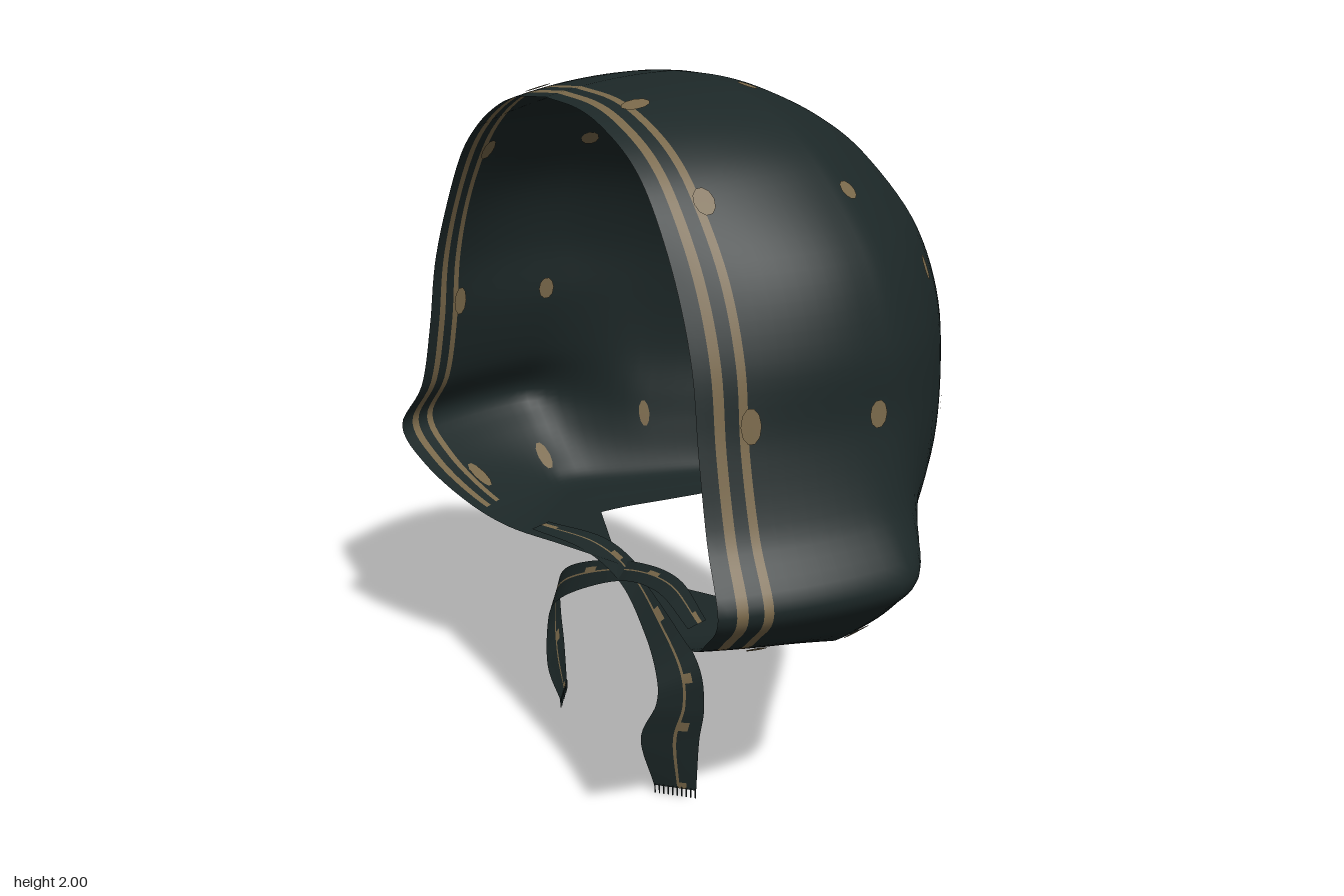
import * as THREE from 'three';
import { mergeVertices } from 'three/addons/utils/BufferGeometryUtils.js';

const CLOTH = new THREE.MeshStandardMaterial({ color: 0x1c2727, side: THREE.DoubleSide });
CLOTH.name = 'dark cloth';
const TAN = new THREE.MeshStandardMaterial({ color: 0x786749, side: THREE.DoubleSide });
TAN.name = 'tan print';
const step = THREE.MathUtils.smoothstep;

// Hood levels from crown to neck hem: height, side half-width, rear half-width, rim x, rim z, back z
const LEVELS = [
  [2.0, 0, 0, 0, 0.5, 0.1],
  [1.986, 0.18, 0.18, 0.155, 0.5, 0],
  [1.95, 0.32, 0.32, 0.27, 0.5, -0.1],
  [1.88, 0.46, 0.46, 0.39, 0.5, -0.23],
  [1.78, 0.58, 0.58, 0.485, 0.505, -0.35],
  [1.6, 0.725, 0.725, 0.585, 0.51, -0.48],
  [1.4, 0.795, 0.795, 0.665, 0.52, -0.555],
  [1.2, 0.81, 0.81, 0.705, 0.53, -0.58],
  [1.0, 0.87, 0.81, 0.76, 0.545, -0.57],
  [0.85, 0.96, 0.79, 0.85, 0.58, -0.52],
  [0.74, 0.88, 0.76, 0.76, 0.55, -0.5],
  [0.64, 0.77, 0.71, 0.62, 0.48, -0.485],
  [0.585, 0.69, 0.64, 0.48, 0.41, -0.475],
  [0.578, 0.56, 0.52, 0.28, 0.34, -0.46],
  [0.575, 0.43, 0.4, 0.06, 0.27, -0.44],
];
const curve = (pts) => new THREE.CatmullRomCurve3(pts.map((p) => new THREE.Vector3(...p)), false, 'catmullrom');
const sizes = curve(LEVELS.map((l) => l.slice(0, 3)));
const ends = curve(LEVELS.map((l) => l.slice(3)));
const MID = 0.1;
// Plan of the rear half, side to centre back: share of width, share of depth
const rearPlan = curve([
  [1, 0, 0], [0.985, 0.2, 0], [0.88, 0.44, 0], [0.75, 0.64, 0],
  [0.6, 0.84, 0], [0.46, 0.97, 0], [0.25, 0.995, 0], [0, 1, 0]]);

// Point on the hood: t runs crown to hem, c runs 0 = front rim, 1 = side, 2 = centre back
function hoodPoint(t, c, side) {
  const { x: level, y: wide, z: rear } = sizes.getPoint(t);
  const { x: rimX, y: rimZ, z: backZ } = ends.getPoint(t);
  let x, z;
  if (c <= 1) {
    const q = 1 - c;
    x = wide + (rimX - wide) * q ** (1 + 0.8 * step(level, 0.575, 0.7));
    z = MID + q * (rimZ - MID);
  } else {
    const plan = rearPlan.getPoint(Math.min(c - 1, 1));
    z = MID - (MID - backZ) * plan.y;
    x = rear * plan.x + (wide - rear) * step(z, -0.22, MID);
  }
  const q = THREE.MathUtils.clamp((z - MID) / 0.4, 0, 1);
  const y = level - 0.045 * q * q * step(level, 1.4, 2)
    + 0.05 * step(-z, -0.05, 0.45) * (1 - step(level, 0.65, 0.9));
  return new THREE.Vector3(side * x, y, z);
}

// Sheet of quads; cells flagged as tan become the second material group
function sheet(name, rows, cols, point, isTan) {
  const pos = [], cloth = [], tan = [];
  for (let i = 0; i <= rows; i++) for (let j = 0; j <= cols; j++) pos.push(...point(i, j).toArray());
  for (let i = 0; i < rows; i++) for (let j = 0; j < cols; j++) {
    const a = i * (cols + 1) + j, b = a + cols + 1;
    (isTan(i, j) ? tan : cloth).push(a, b, a + 1, a + 1, b, b + 1);
  }
  let g = new THREE.BufferGeometry();
  g.setAttribute('position', new THREE.Float32BufferAttribute(pos, 3));
  g.setIndex([...cloth, ...tan]);
  g = mergeVertices(g, 1e-5);
  g.addGroup(0, cloth.length, 0);
  g.addGroup(cloth.length, tan.length, 1);
  g.computeVertexNormals();
  const mesh = new THREE.Mesh(g, [CLOTH, TAN]);
  mesh.name = name;
  return mesh;
}

// Hood shell with two stripes running parallel to the front rim, ending at the jaw
function makeHood() {
  const half = [0, 0.045, 0.09, 0.145, 0.22, 0.268];
  for (let i = 1; i <= 8; i++) half.push(0.268 + 0.732 * i / 8);
  for (let i = 1; i <= 28; i++) half.push(1 + i / 28);
  const n = half.length - 1;
  return sheet('hood', 84, 2 * n,
    (i, j) => (j <= n ? hoodPoint(i / 84, half[j], -1) : hoodPoint(i / 84, half[2 * n - j], 1)),
    (i, j) => { const k = j < n ? j : 2 * n - 1 - j; return i < 68 && (k === 2 || k === 4); });
}

// Dot on both faces of the cloth, placed by height and position round the hood
function makeDot(height, c, side, rx, ry) {
  let t = 0;
  while (t < 1 && sizes.getPoint(t).x > height) t += 0.001;
  const e = 0.005;
  const p = hoodPoint(t, c, side);
  const down = hoodPoint(t + e, c, side).sub(hoodPoint(t - e, c, side)).normalize();
  const round = hoodPoint(t, c + e, side).sub(hoodPoint(t, c - e, side)).normalize();
  const normal = new THREE.Vector3().crossVectors(round, down).normalize();
  const up = down.negate();
  const right = new THREE.Vector3().crossVectors(up, normal);
  const dot = new THREE.Group();
  dot.name = 'dot';
  for (const off of [-0.005, 0.005]) {
    const m = new THREE.Mesh(new THREE.CircleGeometry(1, 10), TAN);
    m.name = 'dotFace';
    m.quaternion.setFromRotationMatrix(new THREE.Matrix4().makeBasis(right, up, normal));
    m.position.copy(p).addScaledVector(normal, off);
    m.scale.set(rx, ry, 1);
    dot.add(m);
  }
  return dot;
}

// Chin tie: a twisting ribbon with a thin stripe, a few spots and a frayed end
function makeTie(side, endY, lift) {
  const path = curve([
    [-0.42, 0.59, 0.33], [-0.2, 0.59 + lift, 0.27], [0, 0.56 + lift, 0.27], [0.2, 0.495, 0.31],
    [0.325, 0.41, 0.33], [0.345, 0.31, 0.335], [0.315, 0.19, 0.35], [0.31, endY + 0.025, 0.33]]);
  const across = curve([
    [0, 0.005, -0.03], [0, 0.012, -0.035], [0.005, 0.02, -0.03], [0.02, 0.032, -0.03],
    [0.045, 0.024, -0.04], [0.045, 0, -0.05], [0.055, 0, -0.062], [0.048, 0, -0.04]]);
  const cols = [-1, 0.1, 0.22, 0.55, 1];
  const at = (t, w) => {
    const p = path.getPoint(t).addScaledVector(across.getPoint(t), w);
    p.x *= side;
    return p;
  };
  const tie = new THREE.Group();
  tie.name = side > 0 ? 'leftTie' : 'rightTie';
  tie.add(sheet('ribbon', 56, 4, (i, j) => at(i / 56, cols[j]),
    (i, j) => j === 1 || (j === 2 && i % 11 < 2)));
  for (let i = 0; i < 10; i++) {
    const thread = new THREE.Mesh(new THREE.BoxGeometry(0.003, 0.03, 0.003), CLOTH);
    thread.name = 'fringeThread';
    thread.position.copy(at(1, -0.96 + 1.92 * i / 9));
    thread.position.y = endY + 0.015;
    tie.add(thread);
  }
  return tie;
}

export function createModel() {
  const model = new THREE.Group();
  model.name = 'tiedHood';
  model.add(makeHood());

  // Printed dots: height, position round the hood, half-width, half-height
  const dots = [
    [1.28, 1.857, 0.032, 0.038], [1.79, 1.78, 0.028, 0.03], [1.51, 1.44, 0.025, 0.036],
    [1.1, 1.54, 0.025, 0.032], [0.78, 1.34, 0.018, 0.045], [1.75, 1.145, 0.028, 0.028],
    [1.24, 1.04, 0.028, 0.036], [1.97, 1.33, 0.028, 0.028], [0.66, 1.0, 0.022, 0.055],
    [1.26, 0.28, 0.026, 0.045], [1.77, 0.28, 0.026, 0.038], [1.97, 0.29, 0.04, 0.026],
    [0.67, 0.32, 0.024, 0.055],
  ];
  const print = new THREE.Group();
  print.name = 'dots';
  for (const [h, c, rx, ry] of dots) for (const s of [-1, 1]) print.add(makeDot(h, c, s, rx, ry));
  model.add(print);

  model.add(makeTie(1, 0, 0), makeTie(-1, 0.03, 0.012));
  return model;
}
